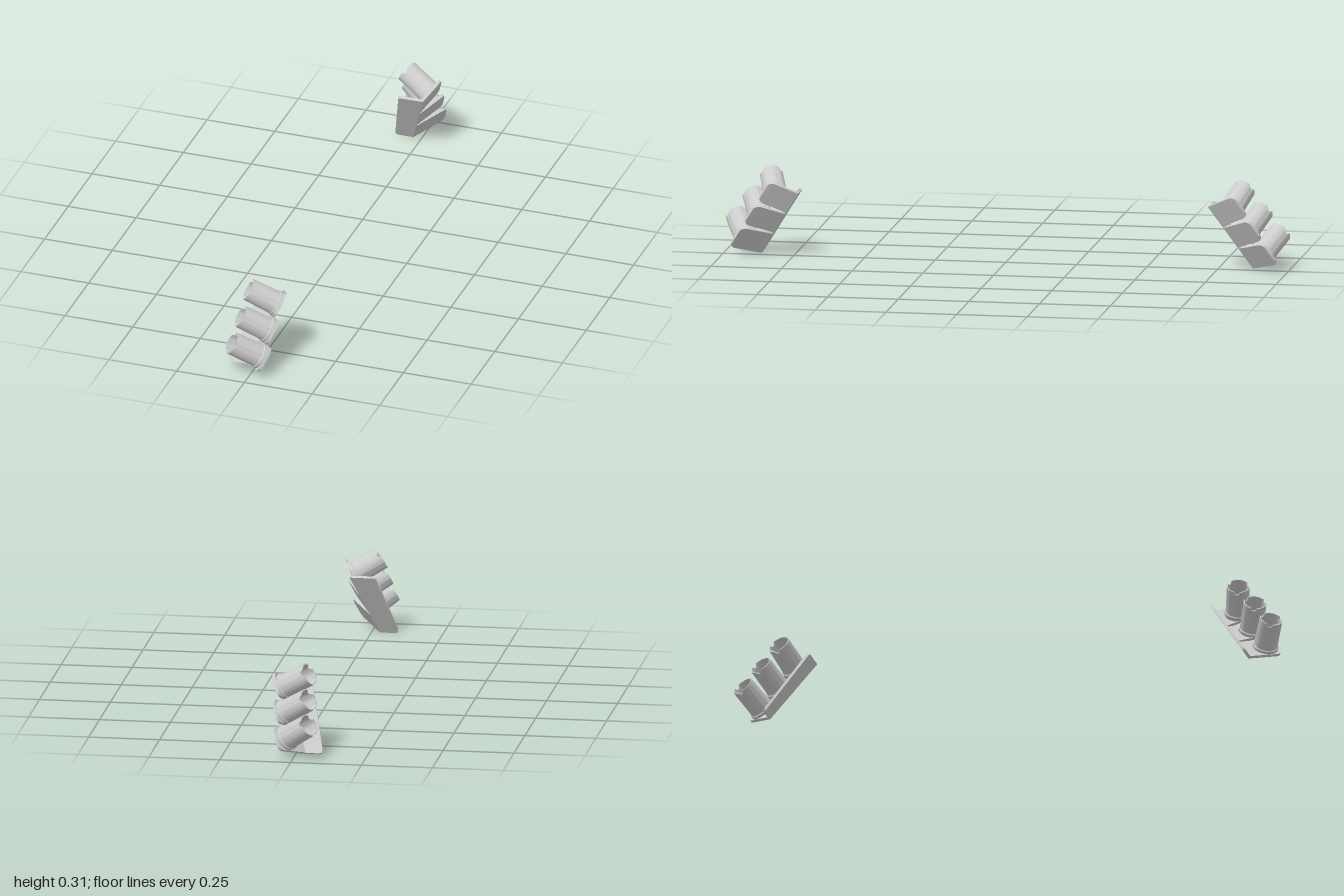
import * as THREE from 'three';
import { toCreasedNormals } from 'three/addons/utils/BufferGeometryUtils.js';

const V = (x, y, z) => new THREE.Vector3(x, y, z);
const material = new THREE.MeshStandardMaterial({ color: 0xcccccc });

// Fold line where the base plate bends into the three mounting tabs
const foldStart = V(-0.03, 0, 0.87);
const foldEnd = V(0.056, 0.23, 0.725);
const fold = foldEnd.clone().sub(foldStart);
const foldDir = fold.clone().normalize();
const THICK = 0.01;

// Tab direction, tab length and centre of the tube mouth, bottom to top
const launchers = [
  { out: V(0.63, 0.315, 0.71), length: 0.13, mouth: V(-0.06, 0.127, 0.962) },
  { out: V(0.53, 0.4, 0.74), length: 0.12, mouth: V(-0.05, 0.203, 0.9) },
  { out: V(0.38, 0.51, 0.77), length: 0.111, mouth: V(-0.042, 0.278, 0.836) },
];

// Plate with corners [x, y, radius], extruded along +z
function roundedPlate(corners) {
  const shape = new THREE.Shape();
  const n = corners.length;
  corners.forEach(([x, y, r], i) => {
    const p = new THREE.Vector2(x, y);
    const toward = (c) => new THREE.Vector2(c[0], c[1]).sub(p).setLength(r).add(p);
    const a = toward(corners[(i + n - 1) % n]);
    const b = toward(corners[(i + 1) % n]);
    if (i === 0) shape.moveTo(a.x, a.y);
    else shape.lineTo(a.x, a.y);
    if (r > 0) shape.quadraticCurveTo(x, y, b.x, b.y);
  });
  shape.closePath();
  const geo = new THREE.ExtrudeGeometry(shape, { depth: THICK, bevelEnabled: false, curveSegments: 8 });
  return toCreasedNormals(geo, 0.6);
}

// Hollow tube along +y with a collar and three rounded notches in the rim
function tubeGeometry(length) {
  const profile = [
    [0.046, -0.006], [0.046, 0.009], [0.0425, 0.012], [0.0415, 0.03],
    [0.04, length], [0.036, length], [0.036, 0.02], [0, 0.02],
  ].map(([r, y]) => new THREE.Vector2(r, y));
  const geo = new THREE.LatheGeometry(profile, 96);
  const pos = geo.attributes.position;
  for (let i = 0; i < pos.count; i++) {
    if (pos.getY(i) < length - 1e-4) continue;
    const angle = Math.atan2(pos.getZ(i), pos.getX(i));
    const step = (Math.PI * 2) / 3;
    const off = (angle - Math.round(angle / step) * step) / 0.27;
    if (Math.abs(off) < 1) pos.setY(i, length - 0.011 * Math.sqrt(1 - off * off));
  }
  return toCreasedNormals(geo, 0.6);
}

function add(parent, name, geometry, xAxis, yAxis, zAxis, origin) {
  const mesh = new THREE.Mesh(geometry, material);
  mesh.name = name;
  mesh.quaternion.setFromRotationMatrix(new THREE.Matrix4().makeBasis(xAxis, yAxis, zAxis));
  mesh.position.copy(origin);
  parent.add(mesh);
}

function createCluster(name) {
  const cluster = new THREE.Group();
  cluster.name = name;

  // Sloping base plate
  const plateX = V(1, 0, 0);
  const plateY = V(0, fold.y, fold.z).normalize();
  const height = Math.hypot(fold.y, fold.z);
  add(cluster, 'basePlate', roundedPlate([
    [-0.067, 0, 0.018], [0, 0, 0], [fold.x, height, 0], [-0.005, height, 0.012],
  ]), plateX, plateY, plateX.clone().cross(plateY), foldStart);

  launchers.forEach(({ out, length, mouth }, i) => {
    // Mounting tab, each bent at its own angle around the fold
    const tabX = out.clone().addScaledVector(foldDir, -out.dot(foldDir)).normalize();
    const tabZ = tabX.clone().cross(foldDir);
    const width = fold.length() / 3;
    const origin = foldStart.clone().addScaledVector(fold, i / 3);
    const low = i === 0 ? 0 : 0.003;
    const high = i === 2 ? width : width - 0.003;
    add(cluster, 'mountingTab' + (i + 1), roundedPlate([
      [0, low, 0], [length, low, 0.022], [length, high, 0.022], [0, high, 0],
    ]), tabX, foldDir, tabZ, origin);

    // Launch tube standing on the tab
    const base = origin.clone().addScaledVector(foldDir, width / 2)
      .addScaledVector(tabX, length - 0.046).addScaledVector(tabZ, THICK);
    const axis = mouth.clone().sub(base);
    const tubeLength = axis.length();
    axis.normalize();
    const side = tabX.clone().addScaledVector(axis, -tabX.dot(axis)).normalize();
    add(cluster, 'launchTube' + (i + 1), tubeGeometry(tubeLength),
      side, axis, side.clone().cross(axis), base);
  });
  return cluster;
}

export function createModel() {
  const model = new THREE.Group();
  model.name = 'launcherPair';
  const front = createCluster('frontCluster');
  const back = createCluster('backCluster');
  back.scale.z = -1;
  model.add(front, back);
  return model;
}
